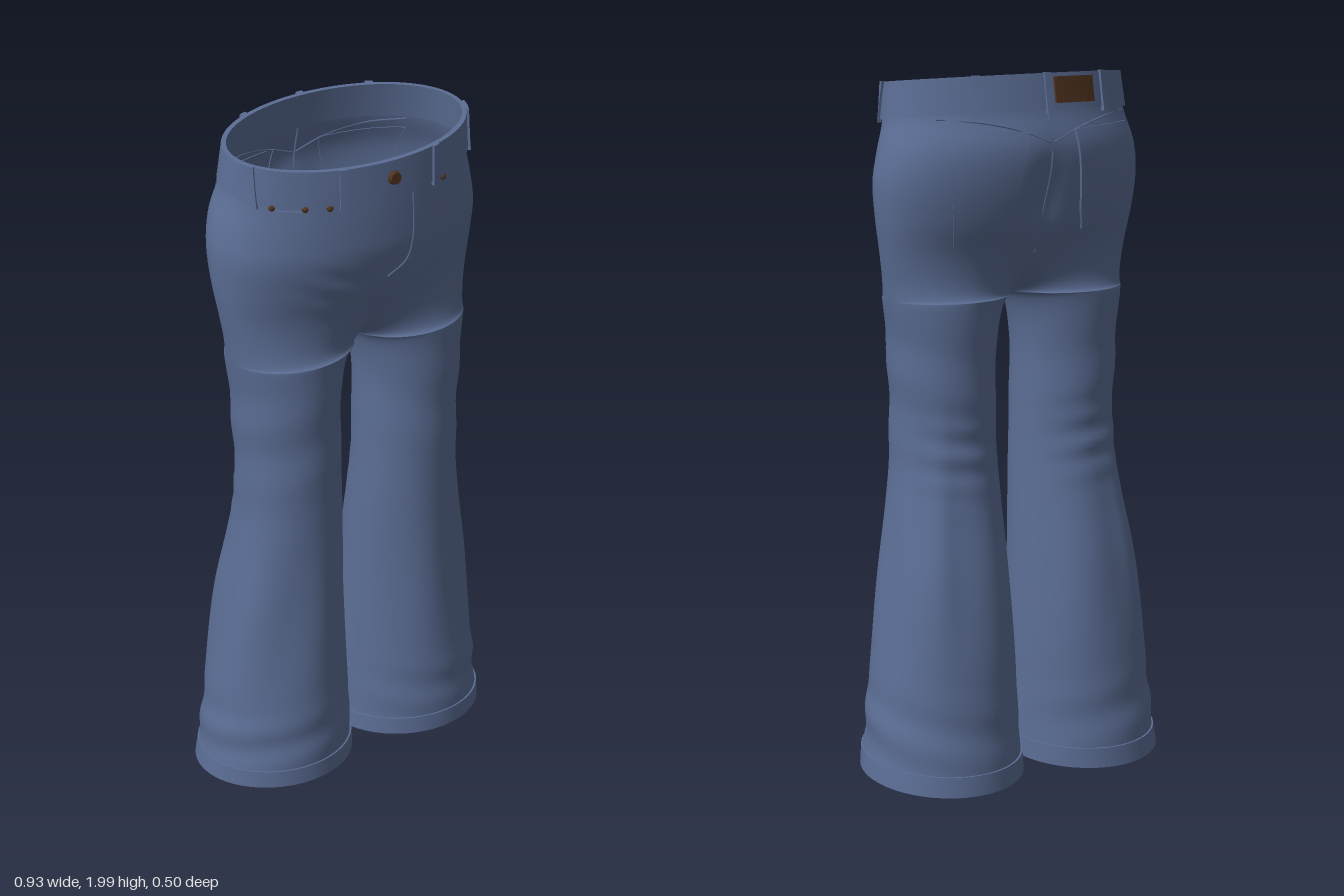
import * as THREE from 'three';
import { mergeGeometries, mergeVertices, toCreasedNormals } from 'three/addons/utils/BufferGeometryUtils.js';

// Half sections: height, outer x, inner x, front z, back z
const SECTIONS = [
  [0.02, 0.462, 0.004, 0.216, -0.246], [0.2, 0.443, 0.012, 0.208, -0.226], [0.4, 0.42, 0.02, 0.195, -0.21],
  [0.6, 0.395, 0.03, 0.185, -0.183], [0.8, 0.364, 0.04, 0.18, -0.143], [0.95, 0.349, 0.048, 0.18, -0.124],
  [1.2, 0.354, 0.052, 0.18, -0.127], [1.4, 0.374, 0.052, 0.184, -0.138], [1.5, 0.39, 0.05, 0.19, -0.155],
  [1.6, 0.404, 0.05, 0.215, -0.195], [1.7, 0.409, 0.05, 0.236, -0.224], [1.78, 0.396, 0.05, 0.239, -0.23],
  [1.87, 0.37, 0.05, 0.238, -0.205], [1.99, 0.357, 0.05, 0.234, -0.184],
];
const CROTCH = 1.375;
const { clamp, lerp, smoothstep } = THREE.MathUtils;
const bump = (v, c, w) => Math.exp(-(((v - c) / w) ** 2));

// Smooth interpolation of one section column at height y
function section(y, col) {
  const S = SECTIONS, last = S.length - 1;
  let i = 0;
  while (i < last - 1 && y > S[i + 1][0]) i++;
  const slope = (k) => {
    const a = S[Math.max(k - 1, 0)], b = S[Math.min(k + 1, last)];
    return (b[col] - a[col]) / (b[0] - a[0]);
  };
  const h = S[i + 1][0] - S[i][0], t = clamp((y - S[i][0]) / h, 0, 1), t2 = t * t, t3 = t2 * t;
  return (2 * t3 - 3 * t2 + 1) * S[i][col] + (t3 - 2 * t2 + t) * h * slope(i)
    + (3 * t2 - 2 * t3) * S[i + 1][col] + (t3 - t2) * h * slope(i + 1);
}

// Plan outline: a leg oval that opens into half of the hip ellipse above the crotch
function outline(u, y) {
  const out = section(y, 1), zf = section(y, 3), zb = section(y, 4);
  const arch = Math.sqrt(Math.max(0, 1 - clamp((y - 1.17) / (CROTCH - 1.17), 0, 1) ** 2));
  const inner = section(y, 2) * arch;
  const cz = (zf + zb) / 2, rz = (zf - zb) / 2, a = 2 * Math.PI * u;
  const t = clamp((y - CROTCH) / 0.22, 0, 1), s = Math.sqrt(1 - (1 - t) ** 2);
  const x = lerp((out + inner) / 2 - (out - inner) / 2 * Math.cos(a), out * Math.sin(a / 2), s);
  let z = lerp(cz + rz * Math.sin(a), cz + rz * Math.cos(a / 2), s);
  if (z < cz) z += 0.022 * bump(x, 0, 0.05) * bump(y, 1.64, 0.1) * s;
  return [x, z];
}

// Soft cloth folds
function folds(u, y, x) {
  const f = 0.006 * Math.sin(y * 75 + u * 9) * bump(y, 0.95, 0.1) * bump(u, 0.75, 0.13)
    + 0.006 * Math.sin(10 * Math.PI * u + 2 * y) * bump(y, 0.55, 0.25)
    + 0.01 * bump(u, 0.66, 0.035) * bump(y, 0.72, 0.28)
    + 0.005 * Math.sin(y * 42 + 4 * Math.PI * u) * bump(y, 0.17, 0.09)
    + 0.003 * Math.sin(y * 30 + 8 * u) * bump(y, 1.15, 0.2)
    + 0.006 * Math.sin(75 * (y - 0.5 * x)) * bump(y, 1.6, 0.08) * bump(x, 0.14, 0.08) * (u < 0.5 ? 1 : 0);
  return f * Math.sin(Math.PI * clamp(u, 0, 1));
}

// Point on the cloth, pushed outward by off
function cloth(side, u, y, off = 0) {
  const [x, z] = outline(u, y), e = 0.004;
  const [x1, z1] = outline(u - e, y), [x2, z2] = outline(u + e, y);
  const len = Math.hypot(x2 - x1, z2 - z1) || 1, d = off + folds(u, y, x);
  const pz = z + d * (x2 - x1) / len;
  const tilt = 0.1 * (1 - smoothstep(y, 0, 0.5)) - 0.1 * smoothstep(y, 1.55, 1.85);
  return new THREE.Vector3(side * (x - d * (z2 - z1) / len), y + tilt * pz, pz);
}

// Finds u for a given x on the front or back
function uAt(x, y, back) {
  let lo = 0, hi = 0.5;
  for (let i = 0; i < 24; i++) {
    const m = (lo + hi) / 2;
    if (outline(m, y)[0] < x) lo = m; else hi = m;
  }
  return back ? 1 - lo : lo;
}

// Grid surface from a point rule
function grid(nu, nv, fn, flip) {
  const pos = [], idx = [];
  for (let j = 0; j <= nv; j++) for (let i = 0; i <= nu; i++) pos.push(...fn(i, j).toArray());
  for (let j = 0; j < nv; j++) for (let i = 0; i < nu; i++) {
    const a = j * (nu + 1) + i, b = a + 1, c = a + nu + 1, d = c + 1;
    idx.push(...(flip ? [a, d, b, a, c, d] : [a, b, d, a, d, c]));
  }
  const g = new THREE.BufferGeometry();
  g.setAttribute('position', new THREE.Float32BufferAttribute(pos, 3));
  g.setIndex(idx);
  return g;
}

// Closed strip with thickness around a leg or the waist
function band(side, turns, y0, y1, out, inn) {
  const prof = [[y0, out], [y1, out], [y1, -inn], [y0, -inn], [y0, out]], n = 96;
  const g = grid(n, 4, (i, j) => cloth(side, (i / n) * turns, ...prof[j]), side < 0);
  return toCreasedNormals(mergeVertices(g, 1e-5), 0.7);
}

// Raised plate on the cloth; edges(t) gives [xLeft, xRight, yLeft, yRight] at row t
function plate(side, back, edges, base, thick, n = 12) {
  const at = (i, j) => {
    const k = clamp((i - 1) / (n - 2), 0, 1), t = clamp((j - 1) / (n - 2), 0, 1);
    const [xa, xb, ya, yb] = edges(t), y = lerp(ya, yb, k);
    const rim = i === 0 || j === 0 || i === n || j === n;
    return cloth(side, uAt(lerp(xa, xb, k), y, back), y, rim ? base - 0.004 : base + thick);
  };
  return toCreasedNormals(grid(n, n, at, (side < 0) !== back), 0.7);
}

export function createModel() {
  const model = new THREE.Group();
  const denim = new THREE.MeshStandardMaterial({ color: 0x5b6d94, side: THREE.DoubleSide });
  const leather = new THREE.MeshStandardMaterial({ color: 0x4f331e, side: THREE.DoubleSide });
  denim.name = 'denim';
  leather.name = 'brown leather and copper';
  const add = (name, geo, mat = denim) => {
    const m = new THREE.Mesh(geo, mat);
    m.name = name;
    model.add(m);
    return m;
  };

  // Legs and hips, rows packed closely around the crotch
  const rows = [];
  for (let y = 0.035; y < 1.3; y += 0.0155) rows.push(y);
  for (let k = 8; k >= 1; k--) rows.push(CROTCH - 0.07 * (k / 8) ** 2);
  for (let k = 0; k <= 10; k++) rows.push(CROTCH + 0.1 * (k / 10) ** 2);
  for (let y = 1.49; y < 1.91; y += 0.014) rows.push(y);
  const n = 96;
  const halves = [1, -1].map((s) => grid(n, rows.length - 1, (i, j) => cloth(s, i / n, rows[j]), s < 0));
  const body = mergeVertices(mergeGeometries(halves), 1e-5);
  body.computeVertexNormals();
  add('legsAndHips', body);

  // Waistband and hems
  add('waistband', band(1, 2, 1.875, 1.975, 0.007, 0.006));
  for (const s of [1, -1]) add(s > 0 ? 'leftHem' : 'rightHem', band(s, 1, 0.03, 0.085, 0.005, 0.006));

  // Thin raised stitching line through [x, y] points
  const seam = (name, side, back, pts) => {
    const curve = new THREE.CatmullRomCurve3(pts.map(([x, y]) => cloth(side, uAt(x, y, back), y, 0.0005)));
    add(name, new THREE.TubeGeometry(curve, 40, 0.003, 5));
  };

  for (const s of [1, -1]) {
    const tag = s > 0 ? 'left' : 'right';
    // Back pocket with a pointed bottom
    const pocket = (t) => {
      const k = smoothstep(t, 0, 0.25);
      return [lerp(0.13, 0.085, t) - 0.01 * k, lerp(0.255, 0.305, t), lerp(0.56, 0.82, t) + 1, lerp(0.53, 0.835, t) + 1];
    };
    add(tag + 'BackPocket', plate(s, true, pocket, 0.001, 0.007, 16));
    seam(tag + 'YokeSeam', s, true, [[0.005, 1.79], [0.1, 1.825], [0.2, 1.85], [0.3, 1.865]]);

    // Belt loops at front, back and side
    const loop = (x) => () => [x - 0.01, x + 0.01];
    for (const [name, x, back] of [['Front', 0.145, false], ['Back', 0.2, true], ['Side', 0.345, false]]) {
      const w = loop(x)();
      add(tag + name + 'BeltLoop', plate(s, back, (t) => [...w, 1.865 + 0.112 * t, 1.865 + 0.112 * t], 0.007, 0.007, 5));
    }
  }
  const centreLoop = (t) => [0, 0.01, 1.865 + 0.112 * t, 1.865 + 0.112 * t];
  for (const s of [1, -1]) add('centreBackBeltLoop', plate(s, true, centreLoop, 0.007, 0.007, 5));

  // Fly, centre back seam and coin pocket
  seam('flySeam', 1, false, [[0.07, 1.865], [0.07, 1.72], [0.055, 1.65], [0.002, 1.61]]);
  seam('centreBackSeam', 1, true, [[0, 1.87], [0, 1.75], [0, 1.62], [0, 1.5]]);
  add('coinPocket', plate(-1, false, (t) => [0.235, 0.315, 1.785 + 0.08 * t, 1.785 + 0.08 * t], 0, 0.004));

  // Leather patch on the back of the waistband
  add('backPatch', plate(-1, true, (t) => [0.02, 0.155, 1.892 + 0.072 * t, 1.892 + 0.072 * t], 0.008, 0.006), leather);

  // Button and rivets
  const button = add('button', new THREE.CylinderGeometry(0.016, 0.02, 0.016, 20), leather);
  button.rotation.x = Math.PI / 2;
  button.position.copy(cloth(1, 0, 1.928, 0.011));
  for (const [s, x] of [[-1, 0.31], [-1, 0.24], [-1, 0.18], [1, 0.18]]) {
    const rivet = add('rivet', new THREE.SphereGeometry(0.009, 12, 8), leather);
    rivet.position.copy(cloth(s, uAt(x, 1.872, false), 1.872, 0.004));
  }
  return model;
}
